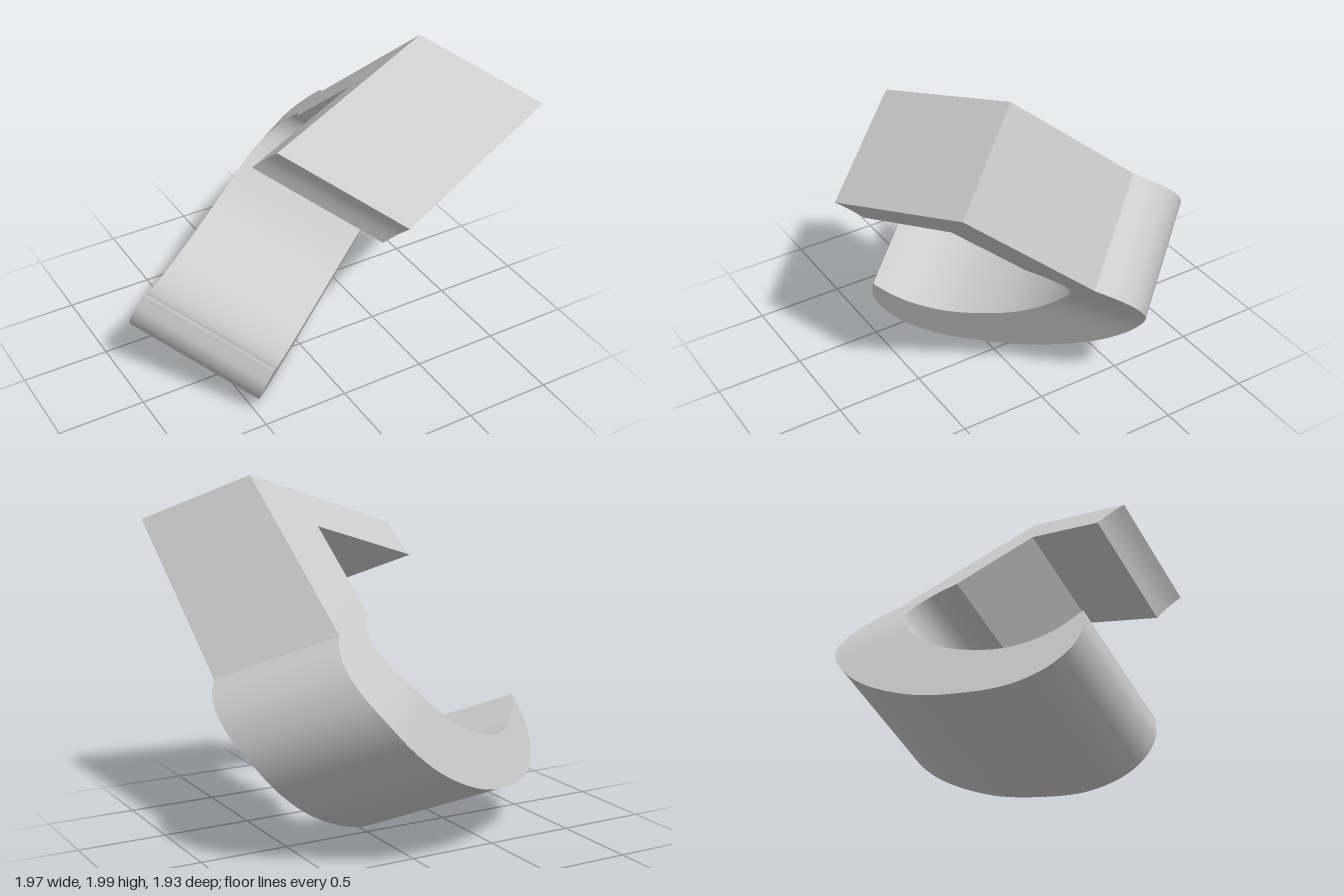
import * as THREE from 'three';
import { toCreasedNormals } from 'three/addons/utils/BufferGeometryUtils.js';

// Profile axes (across, up) and sweep axis of the tilted clip
const ACROSS = new THREE.Vector3(0.797, 0.449, -0.405);
const UP = new THREE.Vector3(-0.175, 0.813, 0.556);
const SWEEP = new THREE.Vector3(0.578, -0.372, 0.726);

// Paired outer / inner outline points of the curved hook, neck to tip
const HOOK_OUTER = [[1.18, 0.63], [1.243, 0.51], [1.252, 0.35], [1.178, 0.185], [1.027, 0.062], [0.715, -0.03],
  [0.27, -0.025], [-0.05, 0.055], [-0.324, 0.175], [-0.47, 0.32], [-0.515, 0.46], [-0.49, 0.585], [-0.405, 0.69]];
const HOOK_INNER = [[0.877, 0.84], [0.937, 0.745], [0.957, 0.64], [0.935, 0.55], [0.87, 0.462], [0.69, 0.367],
  [0.4, 0.303], [0.12, 0.32], [-0.1, 0.378], [-0.25, 0.467], [-0.335, 0.56], [-0.372, 0.63], [-0.397, 0.695]];

const ACROSS_STEPS = 8;

const spline = pts => new THREE.CatmullRomCurve3(pts.map(([a, b]) => new THREE.Vector3(a, b, 0)));
const line = (p, q) => new THREE.LineCurve3(new THREE.Vector3(...p, 0), new THREE.Vector3(...q, 0));

// Both side faces are flat round the hook and lean over smoothly towards the top corner
function place(a, b, front) {
  const s = 0.66 * a + 0.75 * b;
  const face = -0.032 + 0.21 * (s - 0.842 + Math.hypot(s - 0.842, 0.12));
  const t = front ? face : face - (0.82 - 0.052 * s);
  return new THREE.Vector3().addScaledVector(ACROSS, a).addScaledVector(UP, b).addScaledVector(SWEEP, t);
}

// Cross-section: across the front face, then back across the rear face
function section(outer, inner, bow) {
  const ring = [];
  for (const front of [true, false]) {
    for (let j = 0; j <= ACROSS_STEPS; j++) {
      const v = front ? j / ACROSS_STEPS : 1 - j / ACROSS_STEPS;
      const p = outer.clone().lerp(inner, v);
      ring.push(place(p.x + bow * Math.sin(Math.PI * v), p.y, front));
    }
  }
  return ring;
}

function clipGeometry() {
  // Top arm, upright and hook, each between an outer and an inner edge
  const parts = [
    { outer: line([0.277, 1.662], [1.235, 1.667]), inner: line([0.239, 1.43], [0.905, 1.422]), steps: 20, bow: 0.013 },
    { outer: line([1.235, 1.667], [1.18, 0.63]), inner: line([0.905, 1.422], [0.877, 0.84]), steps: 20, bow: 0 },
    { outer: spline(HOOK_OUTER), inner: spline(HOOK_INNER), steps: 120, bow: 0 },
  ];
  const rings = [];
  parts.forEach(({ outer, inner, steps, bow }, k) => {
    for (let i = k ? 1 : 0; i <= steps; i++) {
      const u = i / steps;
      rings.push(section(outer.getPoint(u), inner.getPoint(u), bow * (1 - u)));
    }
  });

  const n = rings[0].length;
  const index = [];
  const quad = (a, b, c, d) => index.push(a, b, c, a, c, d);
  for (let i = 0; i < rings.length - 1; i++) {
    for (let j = 0; j < n; j++) {
      const k = (j + 1) % n;
      quad(i * n + j, i * n + k, (i + 1) * n + k, (i + 1) * n + j);
    }
  }
  // End faces at the arm tip and the hook tip
  const last = (rings.length - 1) * n;
  for (let j = 0; j < ACROSS_STEPS; j++) {
    const r = n - 1 - j;
    quad(j, r, r - 1, j + 1);
    quad(last + j, last + j + 1, last + r - 1, last + r);
  }

  const geometry = new THREE.BufferGeometry().setFromPoints(rings.flat());
  geometry.setIndex(index);
  return toCreasedNormals(geometry, 0.5);
}

export function createModel() {
  const group = new THREE.Group();
  group.name = 'hookClip';
  const clip = new THREE.Mesh(clipGeometry(), new THREE.MeshStandardMaterial({ color: 0xcccccc }));
  clip.name = 'clipBody';
  group.add(clip);
  return group;
}
